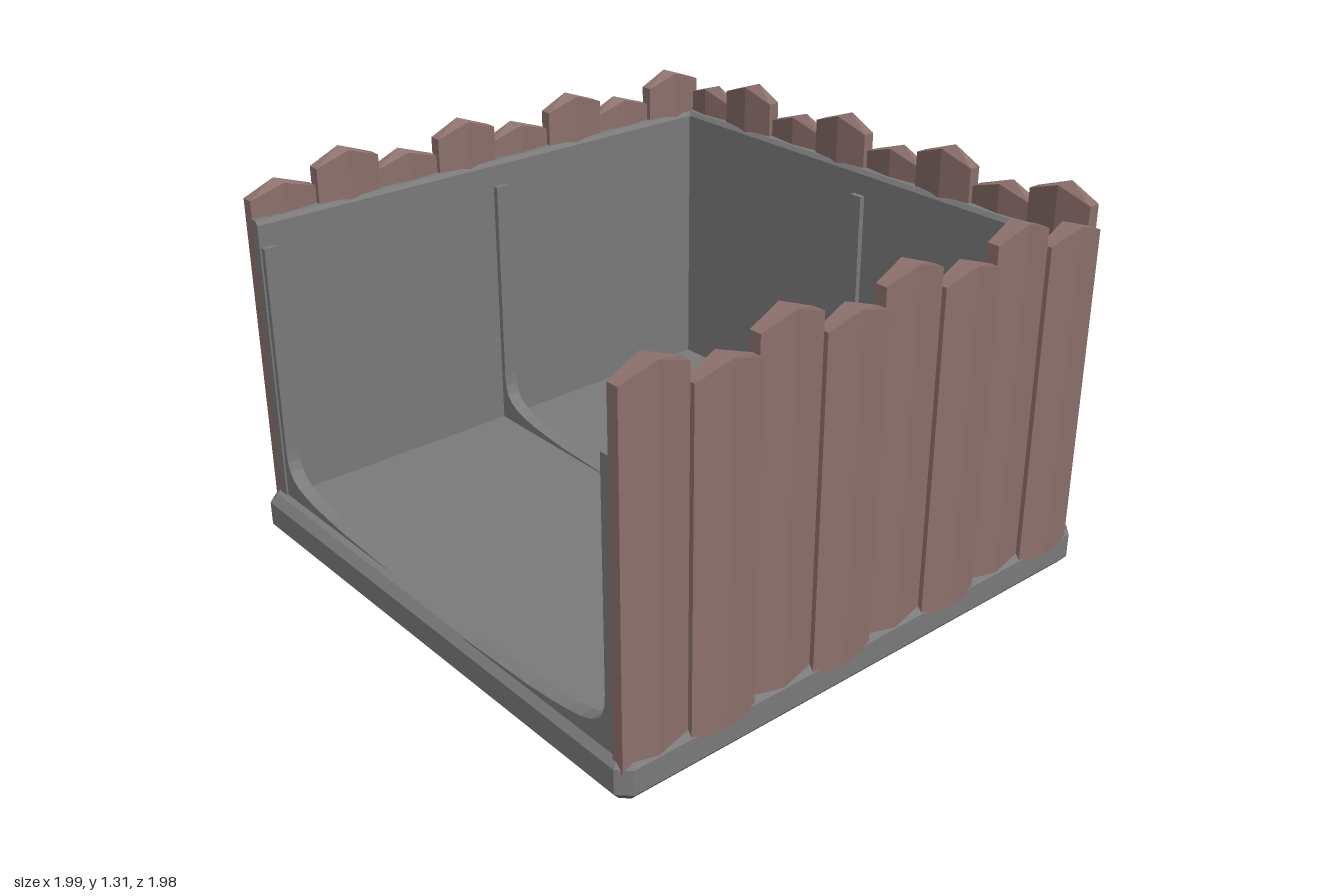
import * as THREE from 'three';

export function createModel() {
  const stone = new THREE.MeshStandardMaterial({ color: 0x7b7b7b });
  stone.name = 'grey panel';
  const wood = new THREE.MeshStandardMaterial({ color: 0x8d716d });
  wood.name = 'reddish brown plank';
  stone.flatShading = wood.flatShading = true;

  const model = new THREE.Group();
  model.name = 'openPlankEnclosure';

  const add = (parent, name, geometry, material) => {
    const mesh = new THREE.Mesh(geometry, material);
    mesh.name = name;
    parent.add(mesh);
    return mesh;
  };
  const polygon = (points) => new THREE.Shape(points.map(([x, y]) => new THREE.Vector2(x, y)));

  // Chamfered floor slab with clipped corners
  const h = 0.96, c = 0.935;
  const slab = new THREE.ExtrudeGeometry(
    polygon([[-c, -h], [c, -h], [h, -c], [h, c], [c, h], [-c, h], [-h, c], [-h, -c]]),
    { depth: 0.085, bevelThickness: 0.03, bevelSize: 0.025, bevelSegments: 1 });
  slab.rotateX(-Math.PI / 2);
  slab.translate(0, 0.03, 0);
  add(model, 'floorSlab', slab, stone);

  // Plank: six-sided section, with the top rising to a point over its middle
  function plankGeometry(width, eave, peak) {
    const w = width / 2, seam = 0.021, ridge = 0.036;
    const geo = new THREE.ExtrudeGeometry(
      polygon([[-w, -seam], [0, -ridge], [w, -seam], [w, seam], [0, ridge], [-w, seam]]),
      { depth: 1, bevelEnabled: false });
    geo.rotateX(-Math.PI / 2);
    // Split the caps along the middle so the pitched top stays symmetrical
    const pos = geo.attributes.position;
    for (let i = 0; i < pos.count; i++) {
      const top = Math.abs(pos.getX(i)) < 0.001 ? peak : eave;
      pos.setY(i, pos.getY(i) > 0.5 ? top : 0.1);
    }
    geo.computeVertexNormals();
    return geo;
  }
  const shortPlank = plankGeometry(0.238, 1.21, 1.25);
  const tallPlank = plankGeometry(0.234, 1.27, 1.313);

  // Inner wall panel, its upper inside edge chamfered
  const panel = new THREE.ExtrudeGeometry(
    polygon([[0.94, 0.1], [0.905, 0.1], [0.905, 1.135], [0.915, 1.15], [0.94, 1.15]]),
    { depth: 1.88, bevelEnabled: false });
  panel.rotateY(Math.PI / 2);
  panel.translate(-0.94, 0, 0);

  // Rib with a foot sweeping out over the floor
  const ribShape = new THREE.Shape();
  ribShape.moveTo(0.93, 0.12);
  ribShape.lineTo(0.93, 1.06);
  ribShape.lineTo(0.885, 1.06);
  ribShape.lineTo(0.887, 0.32);
  ribShape.bezierCurveTo(0.885, 0.2, 0.83, 0.18, 0.53, 0.156);
  ribShape.lineTo(0.2, 0.144);
  ribShape.lineTo(0.2, 0.12);
  const rib = new THREE.ExtrudeGeometry(ribShape, { depth: 0.048, bevelEnabled: false, curveSegments: 8 });
  rib.rotateY(Math.PI / 2);
  rib.translate(-0.024, 0, 0);

  // Each wall is laid out as the back wall, then turned into place
  const walls = [
    { name: 'backWall', turn: 0, start: -0.84, ribs: [-0.005, 0.905] },
    { name: 'rightWall', turn: Math.PI / 2, start: -0.82, ribs: [-0.91, 0.005] },
    { name: 'leftWall', turn: -Math.PI / 2, start: -0.805, ribs: [-0.895, 0.025, 0.94] },
  ];
  for (const { name, turn, start, ribs } of walls) {
    const wall = new THREE.Group();
    wall.name = name;
    wall.rotation.y = turn;
    model.add(wall);
    add(wall, 'innerPanel', panel, stone);
    for (const x of ribs) add(wall, 'rib', rib, stone).position.x = x;
    for (let i = 0; i < 8; i++) {
      const tall = i % 2 === 1;
      const plank = add(wall, tall ? 'tallPlank' : 'shortPlank', tall ? tallPlank : shortPlank, wood);
      plank.position.set(start + i * 0.237, 0, tall ? -0.946 : -0.961);
    }
  }
  return model;
}
